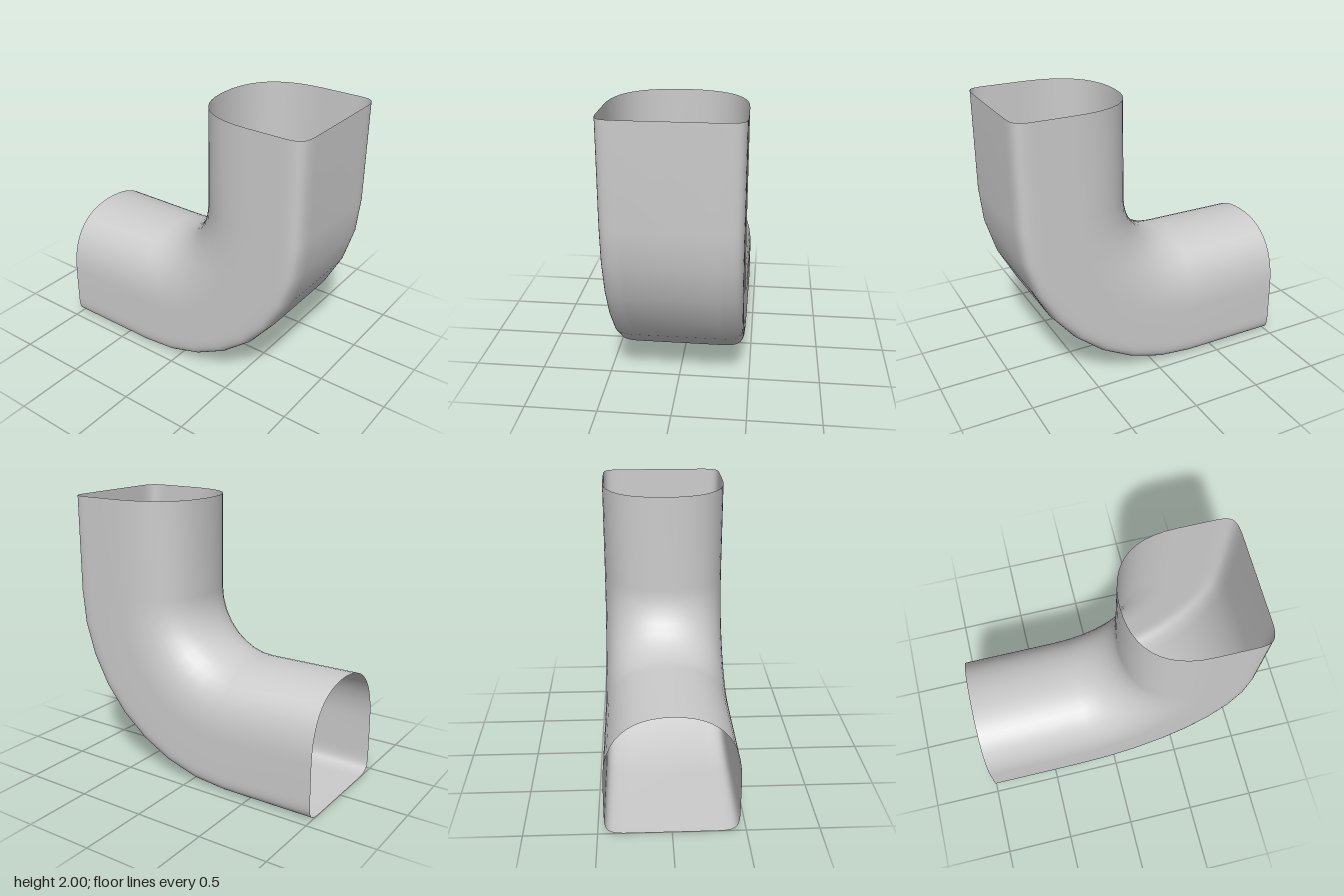
import * as THREE from 'three';

// Half cross-section: x is the half width, y the distance from the bend's centre
function ductProfile() {
  const half = new THREE.Path();
  half.moveTo(0, 0.415);
  half.bezierCurveTo(0.28, 0.415, 0.455, 0.56, 0.455, 0.9); // rounded inner side
  half.lineTo(0.455, 1.15);                                 // flat flank
  half.bezierCurveTo(0.455, 1.27, 0.44, 1.3, 0.3, 1.3);     // tight outer corner
  half.lineTo(0, 1.3);                                      // flat outer side
  const right = half.getPoints(12);
  const left = right.slice(1, -1).reverse().map(p => new THREE.Vector2(-p.x, p.y));
  return [...right, ...left];
}

export function createModel() {
  const group = new THREE.Group();
  group.name = 'ductElbow';

  // Stations along the duct: straight end, 90 degree bend, straight end
  const steps = 8, straight = 0.7, centreY = 1.3, centreZ = -0.3;
  const stations = [{ angle: 0, up: straight, back: 0 }];
  for (let i = 0; i <= steps; i++) {
    stations.push({ angle: (i / steps) * Math.PI / 2, up: 0, back: 0 });
  }
  stations.push({ angle: Math.PI / 2, up: 0, back: straight });

  // Sweep the cross-section through the stations, leaving both ends open
  const ring = ductProfile();
  const n = ring.length;
  const positions = [], indices = [];
  stations.forEach(({ angle, up, back }, s) => {
    for (const p of ring) {
      positions.push(
        p.x,
        centreY - p.y * Math.sin(angle) + up,
        centreZ + p.y * Math.cos(angle) - back
      );
    }
    if (s === stations.length - 1) return;
    for (let j = 0; j < n; j++) {
      const a = s * n + j, b = s * n + (j + 1) % n;
      indices.push(a, b, a + n, b, b + n, a + n);
    }
  });

  const geometry = new THREE.BufferGeometry();
  geometry.setAttribute('position', new THREE.Float32BufferAttribute(positions, 3));
  geometry.setIndex(indices);
  geometry.computeVertexNormals();

  const duct = new THREE.Mesh(
    geometry,
    new THREE.MeshStandardMaterial({ color: 0xcccccc, side: THREE.DoubleSide })
  );
  duct.name = 'ductShell';
  group.add(duct);
  return group;
}
